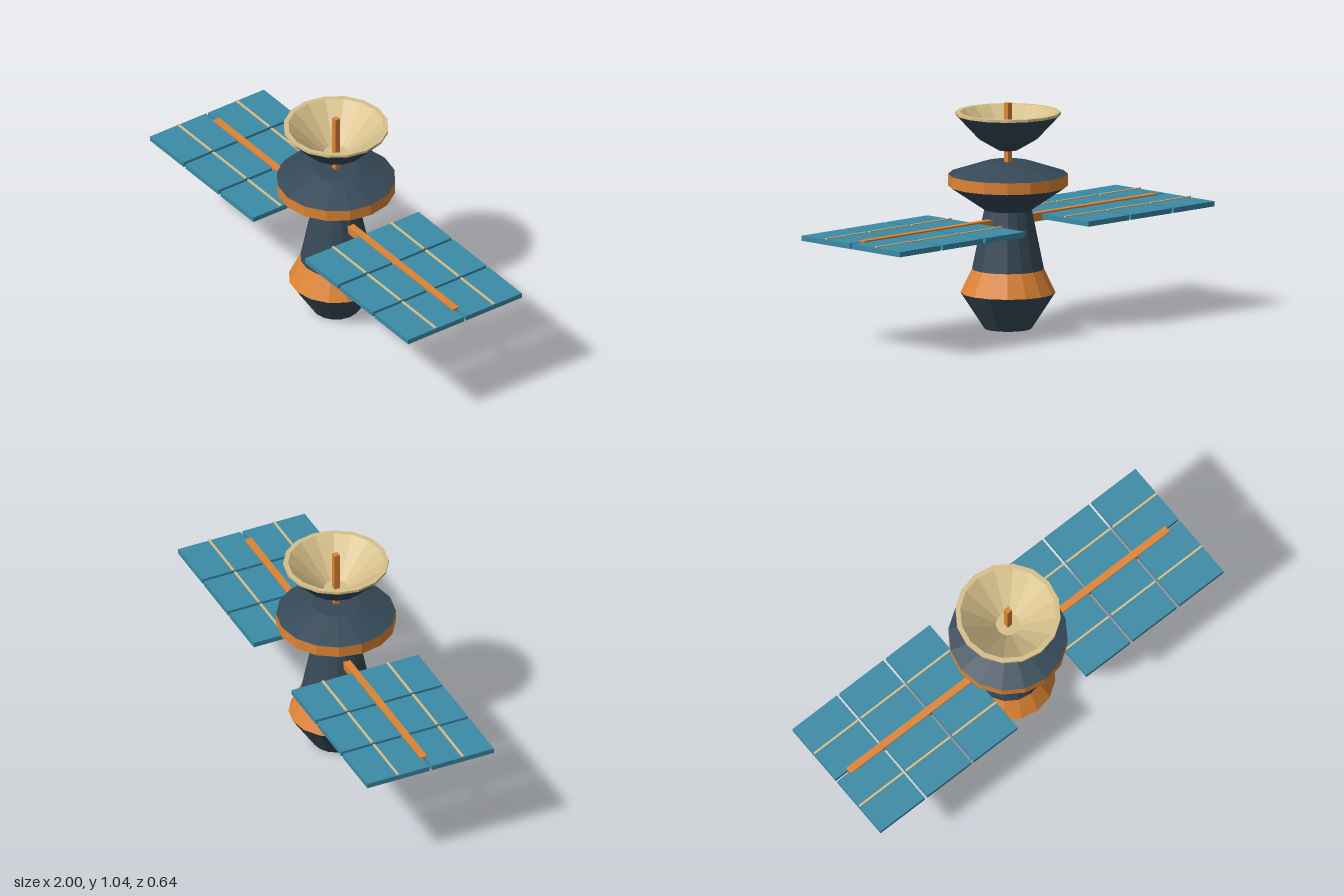
import * as THREE from 'three';

const SIDES = 16;

function makeMaterial(name, color) {
  const m = new THREE.MeshStandardMaterial({ color });
  m.name = name;
  return m;
}

export function createModel() {
  const navy = makeMaterial('navy hull', 0x364958);
  const orange = makeMaterial('orange trim', 0xdd8435);
  const teal = makeMaterial('teal solar cell', 0x3c8ba6);
  const tan = makeMaterial('tan dish', 0xd6bf8a);

  const model = new THREE.Group();
  model.name = 'satellite';

  // Faceted turned section from [radius, height] pairs
  function turned(parent, name, material, profile) {
    const points = profile.map(([r, y]) => new THREE.Vector2(r, y));
    const geometry = new THREE.LatheGeometry(points, SIDES).toNonIndexed();
    geometry.computeVertexNormals();
    const mesh = new THREE.Mesh(geometry, material);
    mesh.name = name;
    parent.add(mesh);
  }

  // Box given by its low and high corners
  function block(parent, name, material, [x0, y0, z0], [x1, y1, z1]) {
    const mesh = new THREE.Mesh(new THREE.BoxGeometry(x1 - x0, y1 - y0, z1 - z0), material);
    mesh.position.set((x0 + x1) / 2, (y0 + y1) / 2, (z0 + z1) / 2);
    mesh.name = name;
    parent.add(mesh);
  }

  // Body, from the base up
  const body = new THREE.Group();
  body.name = 'body';
  turned(body, 'baseCone', navy, [[0, 0], [0.108, 0], [0.216, 0.165]]);
  turned(body, 'lowerBand', orange, [[0.216, 0.165], [0.163, 0.274]]);
  turned(body, 'neck', navy, [[0.163, 0.274], [0.108, 0.546], [0.272, 0.656]]);
  turned(body, 'upperBand', orange, [[0.272, 0.656], [0.272, 0.71]]);
  turned(body, 'cap', navy, [[0.272, 0.71], [0.109, 0.764], [0, 0.764]]);
  model.add(body);

  // Antenna mast and dish
  const antenna = new THREE.Group();
  antenna.name = 'antenna';
  block(antenna, 'mast', orange, [-0.013, 0.75, -0.013], [0.013, 1.036, 0.013]);
  turned(antenna, 'dishShell', navy, [[0, 0.82], [0.045, 0.82], [0.137, 0.874], [0.24, 0.983]]);
  turned(antenna, 'dishBowl', tan,
    [[0.24, 0.983], [0.24, 0.995], [0.218, 0.995], [0.055, 0.85], [0, 0.85]]);
  model.add(antenna);

  // Solar wings: three pairs of panels on each spar
  const spans = [[0.2, 0.456], [0.471, 0.727], [0.742, 1]];
  for (const side of [1, -1]) {
    const wing = new THREE.Group();
    wing.name = side > 0 ? 'leftWing' : 'rightWing';
    block(wing, 'spar', orange, [0.05, 0.473, -0.017], [0.93, 0.511, 0.017]);
    for (const [x0, x1] of spans) {
      block(wing, 'frontPanel', teal, [x0, 0.48, 0.006], [x1, 0.504, 0.318]);
      block(wing, 'backPanel', teal, [x0, 0.48, -0.318], [x1, 0.504, -0.006]);
      for (const z of [0.163, -0.163]) {
        block(wing, 'panelStrip', tan, [x0, 0.504, z - 0.005], [x1, 0.51, z + 0.005]);
      }
    }
    if (side < 0) wing.rotation.y = Math.PI;
    model.add(wing);
  }

  return model;
}
